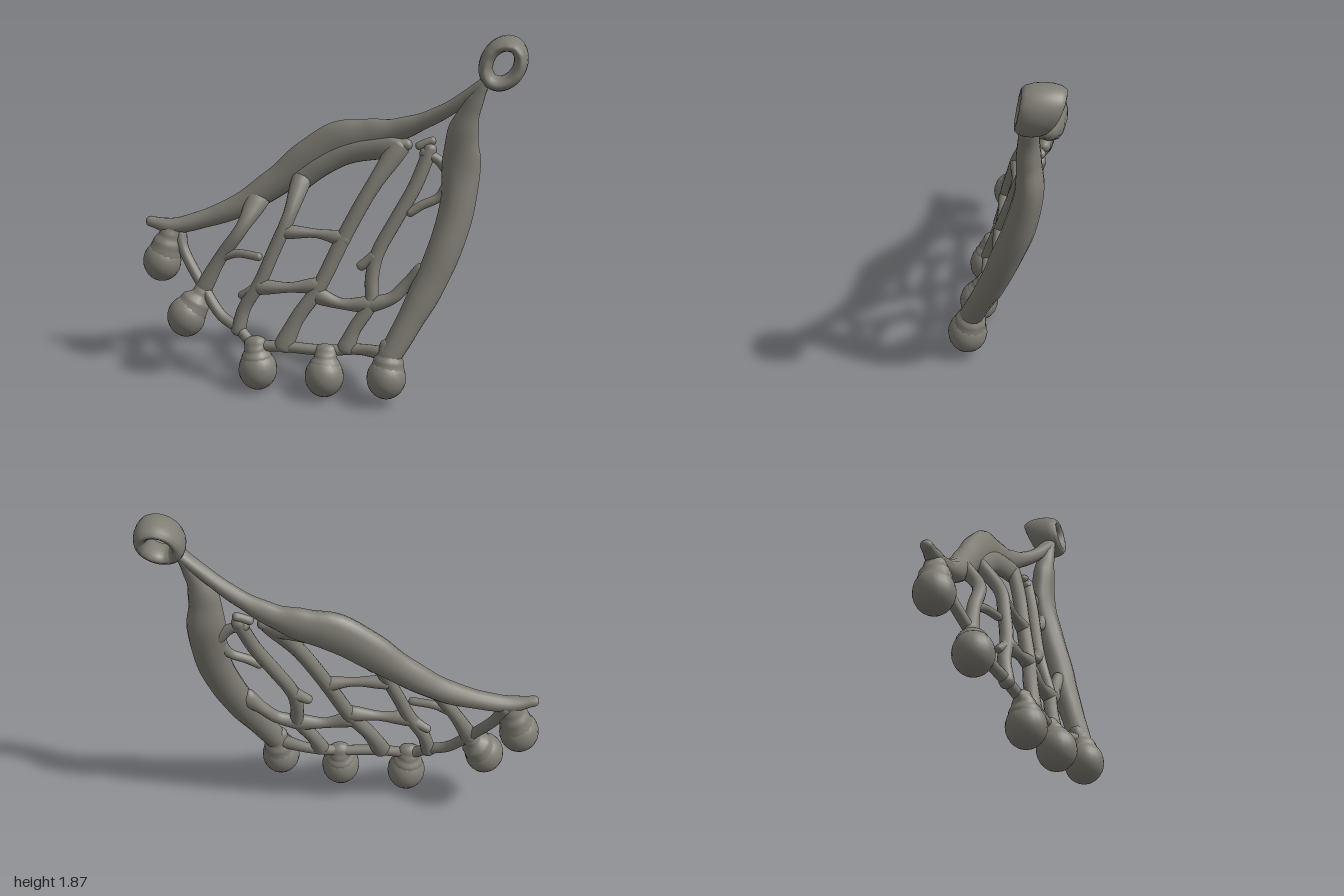
import * as THREE from 'three';

const SIDES = 14;

// Sweeps an ellipse along stations [x, y, z, half width in the front plane, half depth].
function sweep(stations, closed = false, steps = 5) {
  const centre = new THREE.CatmullRomCurve3(stations.map(s => new THREE.Vector3(s[0], s[1], s[2])), closed);
  const size = stations.length, spans = closed ? size : size - 1, count = steps * spans;
  const rings = [];
  if (!closed) for (const a of [90, 60, 30]) rings.push([0, -a]);
  for (let i = 0; i < count + (closed ? 0 : 1); i++) rings.push([i / count, 0]);
  if (!closed) for (const a of [30, 60, 90]) rings.push([1, a]);

  const pos = [], index = [], zAxis = new THREE.Vector3(0, 0, 1);
  for (const [t, dome] of rings) {
    const c = centre.getPoint(t), T = centre.getTangent(t);
    const s = Math.min(Math.floor(t * spans), spans - 1), f = THREE.MathUtils.smoothstep(t * spans - s, 0, 1);
    const [rx, ry] = [3, 4].map(k => THREE.MathUtils.lerp(stations[s][k], stations[(s + 1) % size][k], f));
    const n = new THREE.Vector3().crossVectors(T, zAxis).normalize();
    const b = new THREE.Vector3().crossVectors(T, n);
    const a = THREE.MathUtils.degToRad(dome);
    c.addScaledVector(T, Math.sin(a) * Math.min(rx, ry) * 0.8);
    const k = Math.max(Math.cos(a), 0.001);
    for (let j = 0; j < SIDES; j++) {
      const q = j / SIDES * Math.PI * 2;
      const p = c.clone().addScaledVector(n, Math.cos(q) * rx * k).addScaledVector(b, Math.sin(q) * ry * k);
      pos.push(p.x, p.y, p.z);
    }
  }
  const total = rings.length;
  for (let i = 0; i < (closed ? total : total - 1); i++) {
    for (let j = 0; j < SIDES; j++) {
      const k = (j + 1) % SIDES, m = (i + 1) % total;
      const A = i * SIDES + j, B = i * SIDES + k, C = m * SIDES + k, D = m * SIDES + j;
      index.push(A, B, C, A, C, D);
    }
  }
  const g = new THREE.BufferGeometry();
  g.setAttribute('position', new THREE.Float32BufferAttribute(pos, 3));
  g.setIndex(index);
  g.computeVertexNormals();
  return g;
}

// Depth of the curved net at a point of the front plane.
const netZ = (x, y) => 0.185 - 0.27 * y - 0.27 * Math.max(0, -0.3 - x);

export function createModel() {
  const model = new THREE.Group();
  const grey = new THREE.MeshStandardMaterial({ color: 0x807d74 });
  grey.name = 'stone grey';
  const add = (name, geometry, parent = model) => {
    const mesh = new THREE.Mesh(geometry, grey);
    mesh.name = name;
    parent.add(mesh);
    return mesh;
  };

  // Upper edge, broad and flat in the middle
  add('upperFrame', sweep([
    [-0.97, 0.805, -0.15, 0.028, 0.03], [-0.85, 0.785, -0.15, 0.042, 0.045],
    [-0.7, 0.82, -0.17, 0.048, 0.05], [-0.5, 0.9, -0.195, 0.062, 0.06],
    [-0.3, 1.035, -0.22, 0.078, 0.063], [-0.12, 1.175, -0.232, 0.1, 0.064],
    [0.04, 1.275, -0.236, 0.108, 0.062], [0.2, 1.315, -0.23, 0.09, 0.056],
    [0.35, 1.36, -0.212, 0.06, 0.048], [0.5, 1.43, -0.18, 0.042, 0.042],
    [0.64, 1.52, -0.145, 0.036, 0.04], [0.79, 1.65, -0.12, 0.03, 0.045]]));

  // Thick right edge
  add('sideFrame', sweep([
    [0.78, 1.64, -0.12, 0.03, 0.045], [0.725, 1.52, -0.115, 0.05, 0.05],
    [0.685, 1.38, -0.115, 0.08, 0.06], [0.683, 1.22, -0.12, 0.099, 0.07],
    [0.67, 1.0, -0.075, 0.09, 0.077], [0.62, 0.8, -0.01, 0.087, 0.075],
    [0.54, 0.6, 0.055, 0.082, 0.068], [0.44, 0.4, 0.13, 0.067, 0.06],
    [0.36, 0.25, 0.185, 0.06, 0.06]]));

  // Wide band ring at the tip
  const ring = [];
  for (let i = 0; i < 12; i++) {
    const a = i / 12 * Math.PI * 2, up = (1 + Math.sin(a)) / 2;
    ring.push([0.873 + 0.085 * Math.cos(a) + 0.018 * Math.sin(a), 1.742 + 0.096 * Math.sin(a),
      -0.125 - 0.06 * up, 0.036, 0.075 + 0.027 * up]);
  }
  add('hangingRing', sweep(ring, true));

  // Net strands: radius, points [x, y] or [x, y, z], then how far each end flares
  const net = new THREE.Group();
  net.name = 'net';
  model.add(net);
  const strand = (name, r, points, startFlare = 1, endFlare = 1) => add(name, sweep(
    points.map(([x, y, z = netZ(x, y)], i) => {
      const w = r * (i === 0 ? startFlare : i === points.length - 1 ? endFlare : 1);
      return [x, y, z, w, Math.min(w, 0.038)];
    })), net);

  strand('longStrand', 0.035, [[-0.38, 0.96, -0.18], [-0.46, 0.81], [-0.57, 0.65], [-0.66, 0.48]], 1.7, 1.3);
  strand('longStrand', 0.035, [[-0.15, 1.08, -0.18], [-0.2, 0.9], [-0.27, 0.73], [-0.34, 0.56], [-0.42, 0.42], [-0.45, 0.3]], 1.5, 1.1);
  strand('longStrand', 0.039, [[0.36, 1.28, -0.18], [0.22, 1.06], [0.1, 0.83], [-0.03, 0.55], [-0.13, 0.4], [-0.2, 0.25]], 1.4, 1.3);
  strand('longStrand', 0.036, [[0.52, 1.28], [0.45, 1.09], [0.36, 0.92], [0.27, 0.74], [0.25, 0.62], [0.25, 0.5], [0.17, 0.36], [0.13, 0.26]], 1, 1.3);
  strand('archPanel', 0.062, [[-0.17, 1.06, -0.19], [-0.07, 1.14, -0.195], [0.07, 1.22, -0.2],
    [0.21, 1.255, -0.195], [0.32, 1.27, -0.185], [0.4, 1.29, -0.185]], 1, 0.5);
  strand('crossStrand', 0.024, [[-0.21, 0.83], [-0.05, 0.83], [0.1, 0.81]], 1.6, 1.8);
  strand('crossStrand', 0.027, [[-0.34, 0.54], [-0.18, 0.55], [-0.03, 0.57]], 1.6, 1.6);
  strand('crossStrand', 0.029, [[-0.03, 0.52], [0.1, 0.485], [0.25, 0.49]], 1.6, 1.6);
  strand('crossStrand', 0.033, [[0.25, 0.49], [0.36, 0.53], [0.43, 0.6], [0.52, 0.68, 0.02]], 1.3, 1.6);
  strand('crossStrand', 0.024, [[0.64, 1.12, -0.11], [0.57, 1.04], [0.49, 1.0], [0.43, 0.96]], 1.8, 1);
  strand('crossStrand', 0.026, [[0.49, 1.26], [0.56, 1.23], [0.64, 1.16, -0.13]], 1.2, 1.6);
  strand('brokenStrand', 0.022, [[-0.57, 0.66], [-0.47, 0.69], [-0.35, 0.69]], 1.4, 1);
  strand('brokenStrand', 0.022, [[0.46, 1.29], [0.5, 1.31], [0.53, 1.32]]);
  strand('brokenStrand', 0.026, [[0.26, 0.73], [0.19, 0.68]], 1.4, 1);
  strand('brokenStrand', 0.022, [[-0.37, 0.52], [-0.44, 0.48]], 1.4, 1);

  // Lower rim joining the drops
  strand('lowerRim', 0.029, [[-0.82, 0.77], [-0.78, 0.66], [-0.66, 0.49], [-0.55, 0.36], [-0.45, 0.31],
    [-0.36, 0.25], [-0.18, 0.25], [0.03, 0.245], [0.2, 0.262], [0.36, 0.27, 0.17]], 1.5, 1.3);

  // Drops on tapering necks: ball centre, neck top, then neck radius
  const drops = [
    [[-0.905, 0.59, -0.13], [-0.845, 0.785, -0.15], 0.06],
    [[-0.745, 0.335, 0.005], [-0.65, 0.495, -0.045], 0.046],
    [[-0.335, 0.112, 0.122], [-0.35, 0.26, 0.11], 0.06],
    [[0.025, 0.115, 0.158], [0.03, 0.25, 0.125], 0.06],
    [[0.355, 0.15, 0.2], [0.375, 0.32, 0.165], 0.06],
  ];
  for (const [ball, top, r] of drops) {
    const drop = new THREE.Group();
    drop.name = 'drop';
    model.add(drop);
    const sphere = add('dropBall', new THREE.SphereGeometry(0.102, 20, 14), drop);
    sphere.position.set(...ball);
    sphere.scale.y = 1.08;
    const at = f => ball.map((v, k) => v + (top[k] - v) * f);
    add('dropNeck', sweep([[...at(0.2), 0.09, 0.09], [...at(0.5), 0.08, 0.08],
      [...at(0.75), r, r], [...at(1), r, r * 0.7]]), drop);
  }
  return model;
}
